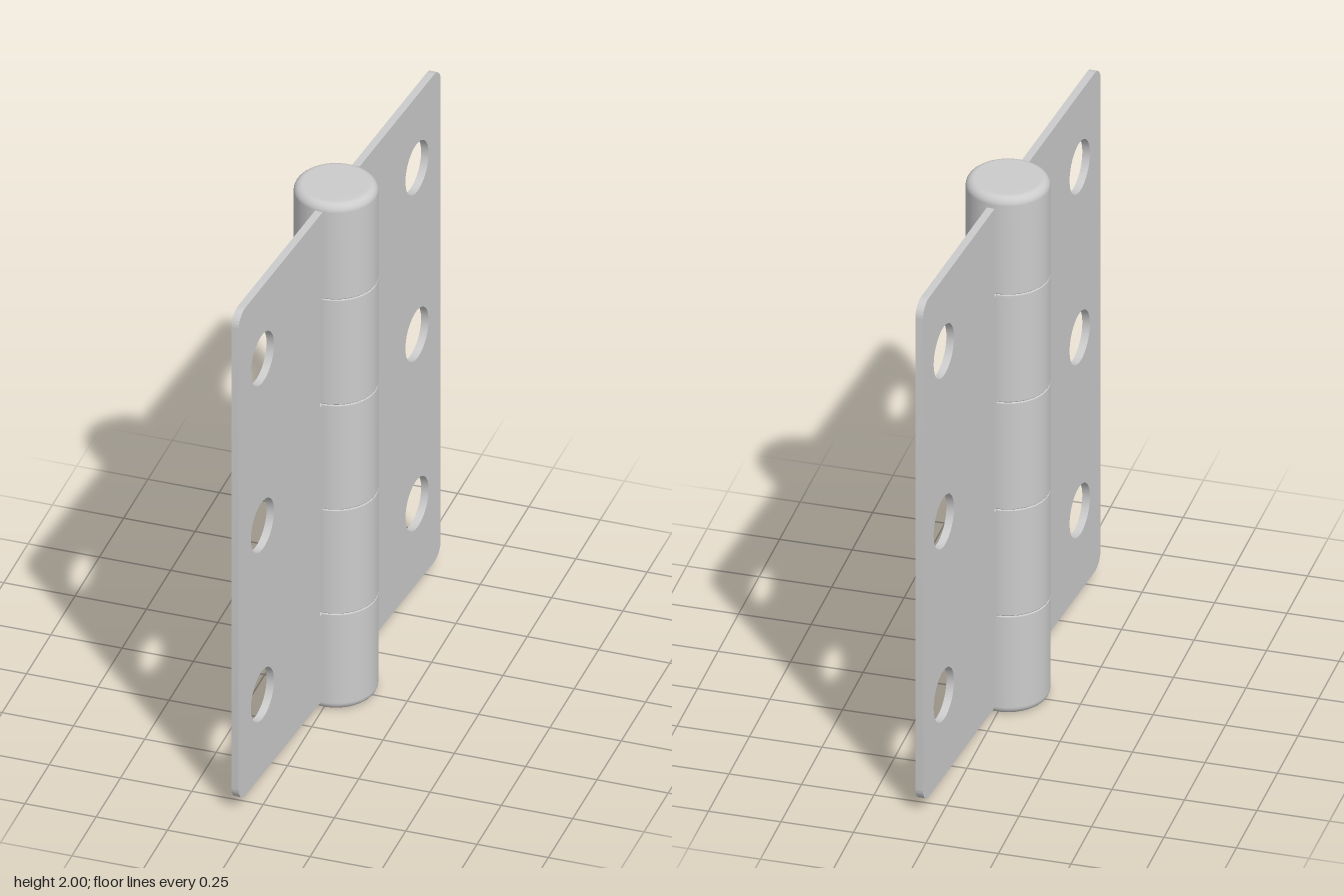
import * as THREE from 'three';
import { toCreasedNormals } from 'three/addons/utils/BufferGeometryUtils.js';

const material = new THREE.MeshStandardMaterial({ color: 0xcccccc });
const RADIUS = 0.141;
const SEAMS = [0, 0.383, 0.795, 1.21, 1.627, 2];
const BOTTOM = 0.04, TOP = 1.97;
const OUTER = 0.83, INNER = 0.162, THICKNESS = 0.027;

// One barrel section: a closed lathe with rounded rims
function knuckle(y0, y1, r0, r1) {
  const pts = [new THREE.Vector2(0, y0)];
  const steps = 6;
  for (let i = 0; i <= steps; i++) {
    const a = (i / steps) * Math.PI / 2;
    pts.push(new THREE.Vector2(RADIUS - r0 + r0 * Math.sin(a), y0 + r0 - r0 * Math.cos(a)));
  }
  for (let i = 0; i <= steps; i++) {
    const a = (i / steps) * Math.PI / 2;
    pts.push(new THREE.Vector2(RADIUS - r1 + r1 * Math.cos(a), y1 - r1 + r1 * Math.sin(a)));
  }
  pts.push(new THREE.Vector2(0, y1));
  return new THREE.Mesh(new THREE.LatheGeometry(pts, 64), material);
}

// Flat leaf: rounded outer corners, three screw holes, tabs reaching its own knuckles
function leaf(parity) {
  const corner = 0.055, tab = 0.1;
  const s = new THREE.Shape();
  s.moveTo(OUTER - corner, BOTTOM);
  s.absarc(OUTER - corner, BOTTOM + corner, corner, -Math.PI / 2, 0, false);
  s.absarc(OUTER - corner, TOP - corner, corner, 0, Math.PI / 2, false);
  for (let i = 4; i >= 0; i--) {
    const u = i % 2 === parity ? tab : INNER;
    s.lineTo(u, i === 4 ? TOP : SEAMS[i + 1]);
    s.lineTo(u, i === 0 ? BOTTOM : SEAMS[i]);
  }
  s.closePath();
  for (const y of [0.355, 1.025, 1.685]) {
    const hole = new THREE.Path();
    hole.absarc(0.635, y, 0.095, 0, Math.PI * 2, true);
    s.holes.push(hole);
  }
  const geo = new THREE.ExtrudeGeometry(s, { depth: THICKNESS, bevelEnabled: false, curveSegments: 20 });
  geo.translate(0, 0, -THICKNESS / 2);
  return new THREE.Mesh(toCreasedNormals(geo, Math.PI / 6), material);
}

export function createModel() {
  const hinge = new THREE.Group();
  hinge.name = 'hinge';

  // Barrel of five knuckles, larger rounding on the two outer ends
  const barrel = new THREE.Group();
  barrel.name = 'barrel';
  for (let i = 0; i < 5; i++) {
    const k = knuckle(SEAMS[i], SEAMS[i + 1], i === 0 ? 0.03 : 0.005, i === 4 ? 0.03 : 0.005);
    k.name = 'knuckle' + (i + 1);
    barrel.add(k);
  }
  hinge.add(barrel);

  // Two leaves, swung five degrees off the front-back plane
  const tilt = THREE.MathUtils.degToRad(5);
  const front = leaf(0);
  front.name = 'frontLeaf';
  front.rotation.y = -Math.PI / 2 - tilt;
  const back = leaf(1);
  back.name = 'backLeaf';
  back.rotation.y = Math.PI / 2 - tilt;
  hinge.add(front, back);
  return hinge;
}
